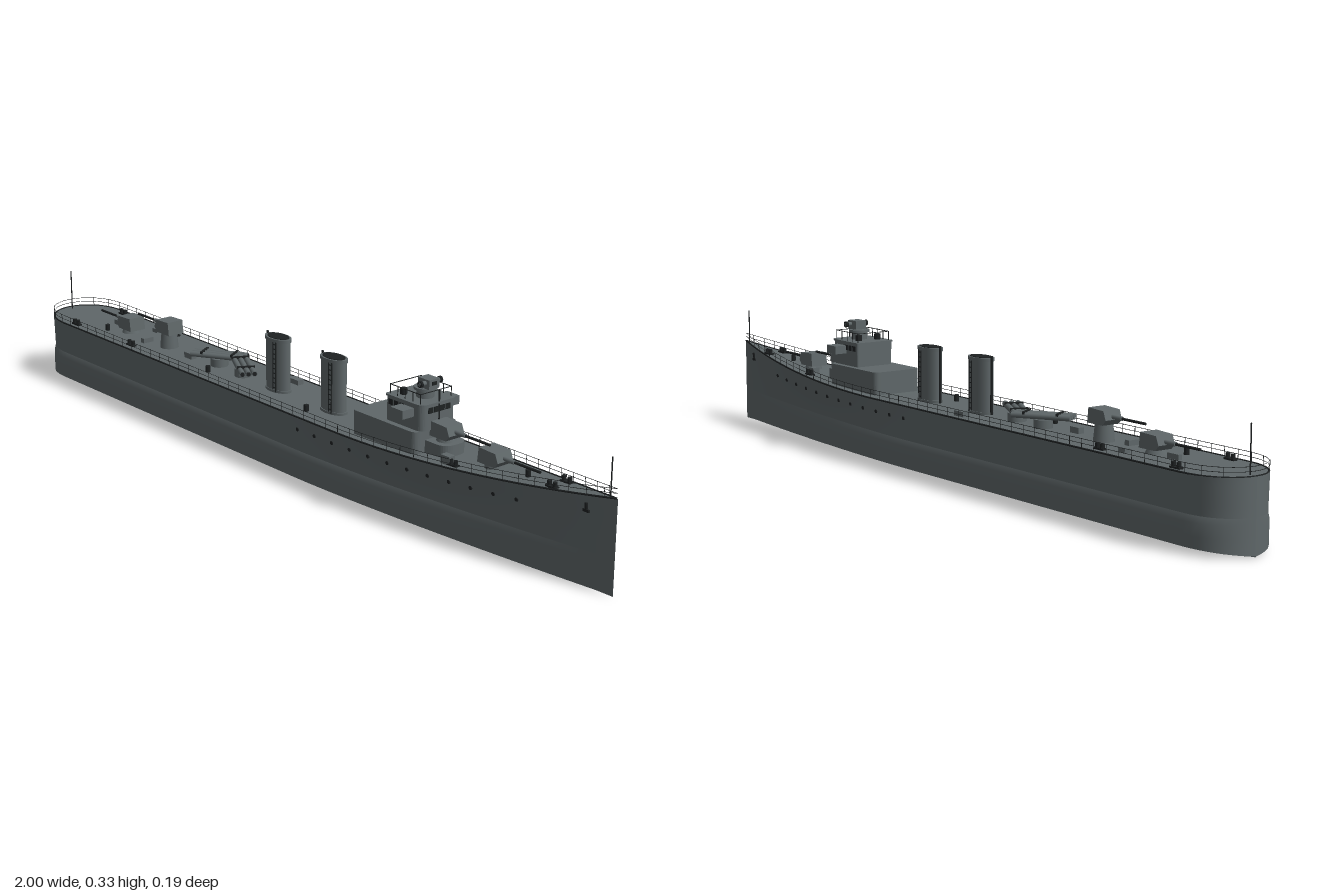
import * as THREE from 'three';

const mat = (name, color, side = THREE.FrontSide) => {
  const m = new THREE.MeshStandardMaterial({ color, side });
  m.name = name;
  return m;
};

// hull form: bow at +x, rounded stern at -x
const taper = (x, start, power) => (x > start ? 1 - Math.pow((x - start) / (1 - start), power) : 1);
const sternRound = (x) => (x < -0.87 ? Math.sqrt(Math.max(0, 1 - Math.pow((-0.87 - x) / 0.13, 2.5))) : 1);
const deckHalf = (x) => 0.094 * taper(x, 0.25, 1.9) * sternRound(x);
const lowHalf = (x) => 0.096 * taper(x, 0.1, 1.55) * sternRound(x);
const deckY = (x) => 0.165 + (x > 0.2 ? 0.05 * Math.pow((x - 0.2) / 0.8, 2) : 0);

const stations = [];
for (let i = 0; i < 10; i++) stations.push(-1 + 0.13 * (1 - Math.cos((i * Math.PI) / 20)));
for (let i = 0; i <= 44; i++) stations.push(-0.87 + (1.87 * i) / 44);

// surface through rows of points
function loft(rows) {
  const n = rows[0].length, index = [];
  for (let i = 0; i < rows.length - 1; i++)
    for (let j = 0; j < n - 1; j++) {
      const a = i * n + j, b = a + n;
      index.push(a, b, a + 1, b, b + 1, a + 1);
    }
  const g = new THREE.BufferGeometry();
  g.setAttribute('position', new THREE.Float32BufferAttribute(rows.flat(2), 3));
  g.setIndex(index);
  g.computeVertexNormals();
  return g;
}

export function createModel() {
  const ship = new THREE.Group();
  ship.name = 'warship';
  const hullGrey = mat('hull grey', 0x5f6769, THREE.DoubleSide);
  const grey = mat('fittings grey', 0x5f6769);
  const dark = mat('dark metal', 0x1e2122);

  const add = (name, geo, m, x = 0, y = 0, z = 0, parent = ship) => {
    const mesh = new THREE.Mesh(geo, m);
    mesh.name = name;
    mesh.position.set(x, y, z);
    parent.add(mesh);
    return mesh;
  };
  const box = (name, w, h, d, m, x, y, z, p) => add(name, new THREE.BoxGeometry(w, h, d), m, x, y, z, p);
  const cyl = (name, r, h, m, x, y, z, p, r2 = r) => add(name, new THREE.CylinderGeometry(r, r2, h, 16), m, x, y, z, p);
  const rod = (name, a, b, r, m, p, sides = 10) => {
    const va = new THREE.Vector3(...a), vb = new THREE.Vector3(...b), d = vb.clone().sub(va);
    const mesh = add(name, new THREE.CylinderGeometry(r, r, d.length(), sides), m, 0, 0, 0, p);
    mesh.position.copy(va).add(vb).multiplyScalar(0.5);
    mesh.quaternion.setFromUnitVectors(new THREE.Vector3(0, 1, 0), d.normalize());
    return mesh;
  };
  // block with rounded plan corners, standing on y
  const block = (name, x0, x1, half, y0, y1, rBack, rFront, m) => {
    const s = new THREE.Shape();
    s.moveTo(x0 + rBack, -half);
    s.lineTo(x1 - rFront, -half);
    s.quadraticCurveTo(x1, -half, x1, -half + rFront);
    s.lineTo(x1, half - rFront);
    s.quadraticCurveTo(x1, half, x1 - rFront, half);
    s.lineTo(x0 + rBack, half);
    s.quadraticCurveTo(x0, half, x0, half - rBack);
    s.lineTo(x0, -half + rBack);
    s.quadraticCurveTo(x0, -half, x0 + rBack, -half);
    const g = new THREE.ExtrudeGeometry(s, { depth: y1 - y0, bevelEnabled: false, curveSegments: 8 });
    return add(name, g.rotateX(-Math.PI / 2), m, 0, y0, 0);
  };

  // hull: bottom, bulged lower side, flared upper side and deck
  const chineY = (x) => 0.002 + (0.013 * lowHalf(x)) / 0.096;
  const sideZ = (x, t) => THREE.MathUtils.lerp(lowHalf(x) * 0.94, deckHalf(x), Math.pow(t, 1.3));
  const sideY = (x, t) => THREE.MathUtils.lerp(0.082, deckY(x), t);
  for (const s of [1, -1]) {
    add('hullBottom', loft(stations.map((x) => [[x, 0, 0], [x, chineY(x), s * lowHalf(x)]])), hullGrey);
    add('hullLowerSide', loft(stations.map((x) =>
      [[x, chineY(x), s * lowHalf(x)], [x, 0.04, s * lowHalf(x) * 1.005], [x, 0.068, s * lowHalf(x)],
        [x, 0.082, s * sideZ(x, 0)]])), hullGrey);
    add('hullUpperSide', loft(stations.map((x) =>
      [0, 0.25, 0.5, 0.75, 1].map((t) => [x, sideY(x, t), s * sideZ(x, t)]))), hullGrey);

    // deck edge and guard rails
    const edge = (h) => new THREE.CatmullRomCurve3(
      stations.map((x) => new THREE.Vector3(x * 0.998, deckY(x) + h, s * deckHalf(x) * 0.985)));
    add('deckEdge', new THREE.TubeGeometry(edge(0), 120, 0.0022, 5), dark);
    for (const h of [0.011, 0.021]) add('railWire', new THREE.TubeGeometry(edge(h), 120, 0.0006, 4), dark);
    for (let i = 0; i <= 48; i++) {
      const x = -0.97 + i * 0.0404, z = s * deckHalf(x) * 0.985;
      rod('railPost', [x, deckY(x), z], [x, deckY(x) + 0.022, z], 0.0008, dark, ship, 4);
    }
    // portholes along the forward side
    for (let i = 0; i < 12; i++) {
      const x = 0.1 + i * 0.06, t = 0.64;
      const p = cyl('porthole', 0.0045, 0.004, dark, x, sideY(x, t), s * sideZ(x, t));
      p.rotation.x = Math.PI / 2;
    }
    // anchor
    rod('anchorShank', [0.93, 0.17, s * 0.013], [0.93, 0.19, s * 0.016], 0.004, dark);
    box('anchorFlukes', 0.016, 0.006, 0.006, dark, 0.93, 0.172, s * 0.014);
    // bollards
    for (const [x, z] of [[-0.845, 0.075], [-0.6, 0.07], [0.58, 0.055], [0.84, 0.022]]) {
      for (const dx of [-0.008, 0.008]) cyl('bollard', 0.005, 0.014, dark, x + dx, deckY(x) + 0.007, s * z);
      box('bollardBase', 0.03, 0.004, 0.012, dark, x, deckY(x) + 0.002, s * z);
    }
  }
  add('deck', loft(stations.map((x) => [[x, deckY(x), deckHalf(x)], [x, deckY(x), -deckHalf(x)]])), hullGrey);

  // staffs at bow and stern
  rod('jackstaff', [0.98, 0.21, 0], [0.98, 0.3, 0], 0.0015, dark);
  rod('ensignStaff', [-0.98, 0.165, 0], [-0.98, 0.27, 0], 0.0015, dark);

  // funnels
  for (const x of [-0.085, 0.12]) {
    const f = new THREE.Group();
    f.name = 'funnel';
    f.position.set(x, 0.165, 0);
    ship.add(f);
    const oval = (name, r, h, y, m) => add(name, new THREE.CylinderGeometry(r, r, h, 32), m, 0, y, 0, f).scale.z = 0.58;
    oval('funnelCasing', 0.038, 0.128, 0.064, grey);
    oval('funnelCap', 0.041, 0.008, 0.129, grey);
    oval('funnelMouth', 0.034, 0.003, 0.133, dark);
    oval('funnelBase', 0.041, 0.006, 0.003, grey);
    rod('steamPipe', [-0.041, 0, 0], [-0.041, 0.138, 0], 0.003, dark, f);
    for (const s of [1, -1]) {
      for (let i = 0; i < 10; i++) box('ladderRung', 0.01, 0.002, 0.003, dark, 0.012, 0.012 + i * 0.012, s * 0.0215, f);
      for (const dx of [0.007, 0.017]) box('ladderRail', 0.0015, 0.125, 0.003, dark, dx, 0.064, s * 0.0215, f);
    }
  }

  // bridge structure
  block('deckhouse', 0.26, 0.47, 0.066, 0.16, 0.222, 0.015, 0.02, grey);
  block('gunPlatform', 0.46, 0.535, 0.036, 0.16, 0.2, 0.005, 0.03, grey);
  block('bridge', 0.36, 0.475, 0.052, 0.222, 0.282, 0.006, 0.02, grey);
  block('bridgeRoof', 0.357, 0.478, 0.054, 0.279, 0.283, 0.006, 0.02, grey);
  for (let i = 0; i < 4; i++) box('bridgeWindow', 0.004, 0.013, 0.014, dark, 0.4745, 0.267, -0.0255 + i * 0.017);
  for (const s of [1, -1]) {
    box('bridgeWing', 0.04, 0.02, 0.036, grey, 0.43, 0.262, s * 0.067);
    for (let i = 0; i < 3; i++) box('sideWindow', 0.014, 0.013, 0.004, dark, 0.375 + i * 0.018, 0.267, s * 0.051);
    box('roofRail', 0.1, 0.0015, 0.0015, dark, 0.415, 0.305, s * 0.046);
    for (let i = 0; i < 5; i++) box('roofRailPost', 0.0015, 0.024, 0.0015, dark, 0.366 + i * 0.0245, 0.294, s * 0.046);
    cyl('searchlight', 0.008, 0.014, dark, 0.39, 0.291, s * 0.028);
  }
  for (const x of [0.366, 0.464]) box('roofRail', 0.0015, 0.0015, 0.092, dark, x, 0.305, 0);

  // gun director with rangefinder arms
  cyl('directorPedestal', 0.02, 0.025, grey, 0.43, 0.295, 0);
  cyl('directorDrum', 0.026, 0.006, grey, 0.43, 0.304, 0);
  box('directorHood', 0.036, 0.022, 0.03, grey, 0.44, 0.318, 0);
  rod('rangefinder', [0.445, 0.32, -0.032], [0.445, 0.32, 0.032], 0.0055, grey);
  for (const s of [1, -1]) cyl('rangefinderEnd', 0.0075, 0.006, dark, 0.445, 0.32, s * 0.029).rotation.x = Math.PI / 2;
  box('directorSight', 0.002, 0.008, 0.014, dark, 0.4585, 0.32, 0);
  rod('foremast', [0.475, 0.22, 0], [0.475, 0.31, 0], 0.002, dark);

  // shielded guns: dir is the way the barrel points
  const shield = new THREE.Shape([[-0.03, 0], [0.022, 0], [0.032, 0.012], [0.024, 0.032], [-0.026, 0.034]]
    .map((p) => new THREE.Vector2(...p)));
  const shieldGeo = new THREE.ExtrudeGeometry(shield, { depth: 0.046, bevelEnabled: false }).translate(0, 0, -0.023);
  for (const [x, y, base, dir] of [[0.65, 0.19, 0.17, 1], [0.5, 0.208, 0.195, 1], [-0.53, 0.204, 0.165, -1], [-0.7, 0.175, 0.165, -1]]) {
    const g = new THREE.Group();
    g.name = 'deckGun';
    g.position.set(x, y, 0);
    g.rotation.y = dir > 0 ? 0 : Math.PI;
    ship.add(g);
    cyl('gunPedestal', 0.02, y - base, grey, 0, (base - y) / 2, 0, g, 0.024);
    add('gunShield', shieldGeo, grey, 0, 0, 0, g);
    rod('gunBarrel', [0.02, 0.018, 0], [0.135, 0.018, 0], 0.003, dark, g);
    rod('gunSleeve', [0.02, 0.018, 0], [0.06, 0.018, 0], 0.005, grey, g);
  }

  // triple torpedo tubes trained off the centreline
  for (const [x, z, angle, len] of [[-0.325, -0.005, 0.55, 0.14], [-0.222, 0, -0.5, 0.155]]) {
    const t = new THREE.Group();
    t.name = 'torpedoMount';
    t.position.set(x, 0.165, z);
    t.rotation.y = angle;
    ship.add(t);
    cyl('mountBase', 0.022, 0.02, grey, 0, 0.01, 0, t);
    for (const dz of [-0.015, 0, 0.015]) {
      rod('torpedoTube', [-len / 2, 0.028, dz], [len / 2, 0.028, dz], 0.007, grey, t, 14);
      rod('tubeMouth', [len / 2, 0.028, dz], [len / 2 + 0.001, 0.028, dz], 0.0055, dark, t);
    }
    for (const dx of [-0.04, 0.04]) box('tubeClamp', 0.006, 0.006, 0.044, dark, dx, 0.034, 0, t);
  }

  // deck lockers, hatches and stern gear
  for (const [x, z, w, d, h] of [[-0.42, 0.015, 0.03, 0.016, 0.014], [-0.095, -0.063, 0.036, 0.018, 0.012],
    [0.56, 0.052, 0.026, 0.018, 0.02], [0.6, -0.03, 0.02, 0.02, 0.014], [-0.655, -0.05, 0.02, 0.014, 0.01],
    [-0.77, -0.012, 0.035, 0.01, 0.012], [-0.6, 0.02, 0.014, 0.03, 0.012]])
    box('deckLocker', w, h, d, grey, x, deckY(x) + h / 2, z);
  for (const [x, z] of [[0.08, 0.05], [-0.3, 0.05], [-0.75, 0.04], [0.75, 0]])
    cyl('ventilator', 0.006, 0.016, dark, x, deckY(x) + 0.008, z);
  return ship;
}
